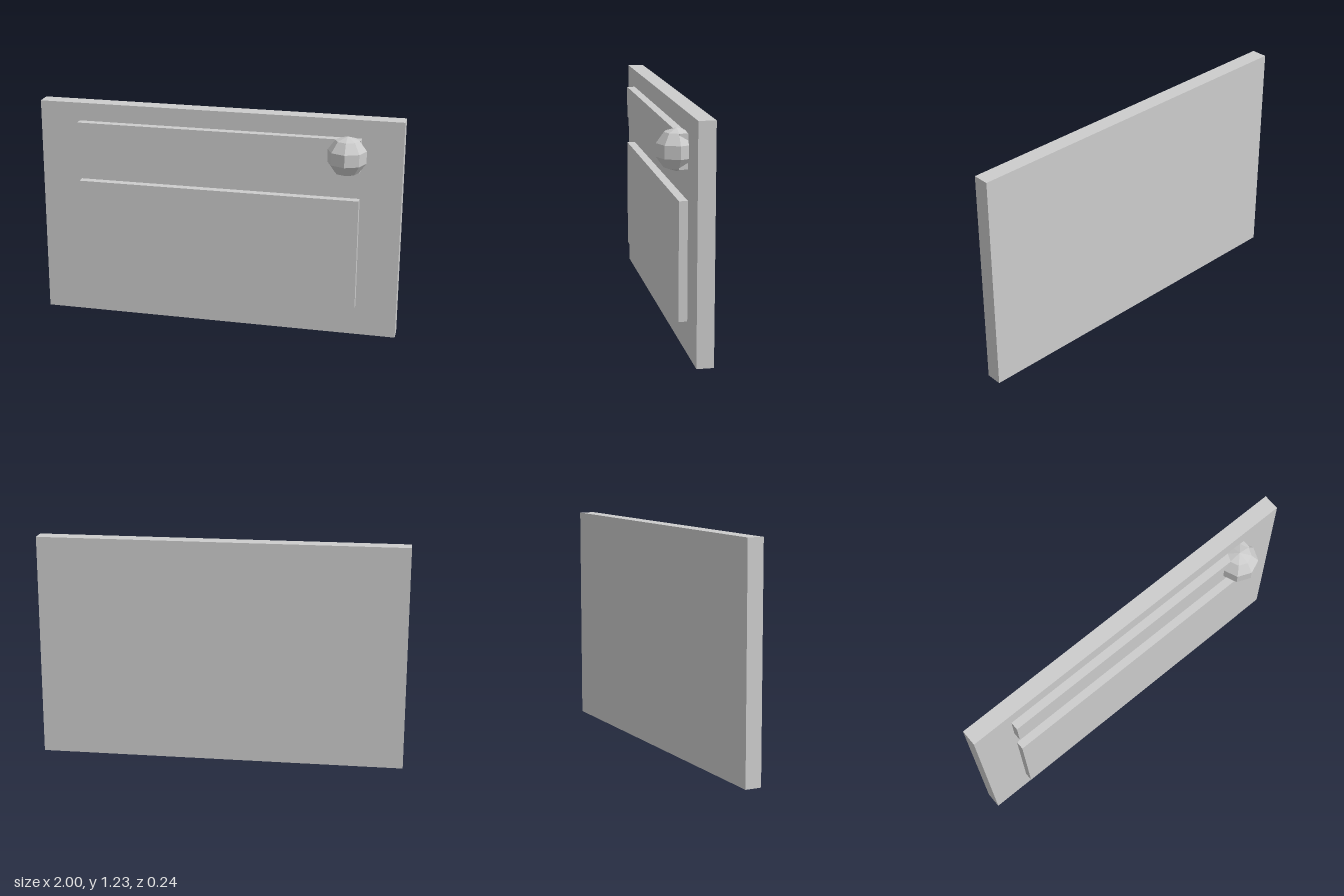
import * as THREE from 'three';

export function createModel() {
  const group = new THREE.Group();
  const paleGrey = new THREE.MeshStandardMaterial({ color: 0xcccccc, flatShading: true });
  paleGrey.name = 'paleGrey';

  function add(name, geometry, x, y, z) {
    const mesh = new THREE.Mesh(geometry, paleGrey);
    mesh.name = name;
    mesh.position.set(x, y, z);
    group.add(mesh);
  }

  // Box from its vertical and depth limits, centred on x
  function slab(name, width, y0, y1, z0, z1) {
    add(name, new THREE.BoxGeometry(width, y1 - y0, z1 - z0), 0, (y0 + y1) / 2, (z0 + z1) / 2);
  }

  // Door leaf
  slab('doorLeaf', 2, 0, 1.225, -0.118, -0.03);

  // Raised panels on the front
  slab('lowerPanel', 1.556, 0.17, 0.79, -0.03, 0.015);
  slab('upperPanel', 1.556, 0.947, 1.125, -0.03, 0.015);

  // Faceted knob, sunk into the upper panel
  add('knob', new THREE.SphereGeometry(0.109, 8, 5), 0.708, 1.036, 0.014);

  return group;
}
